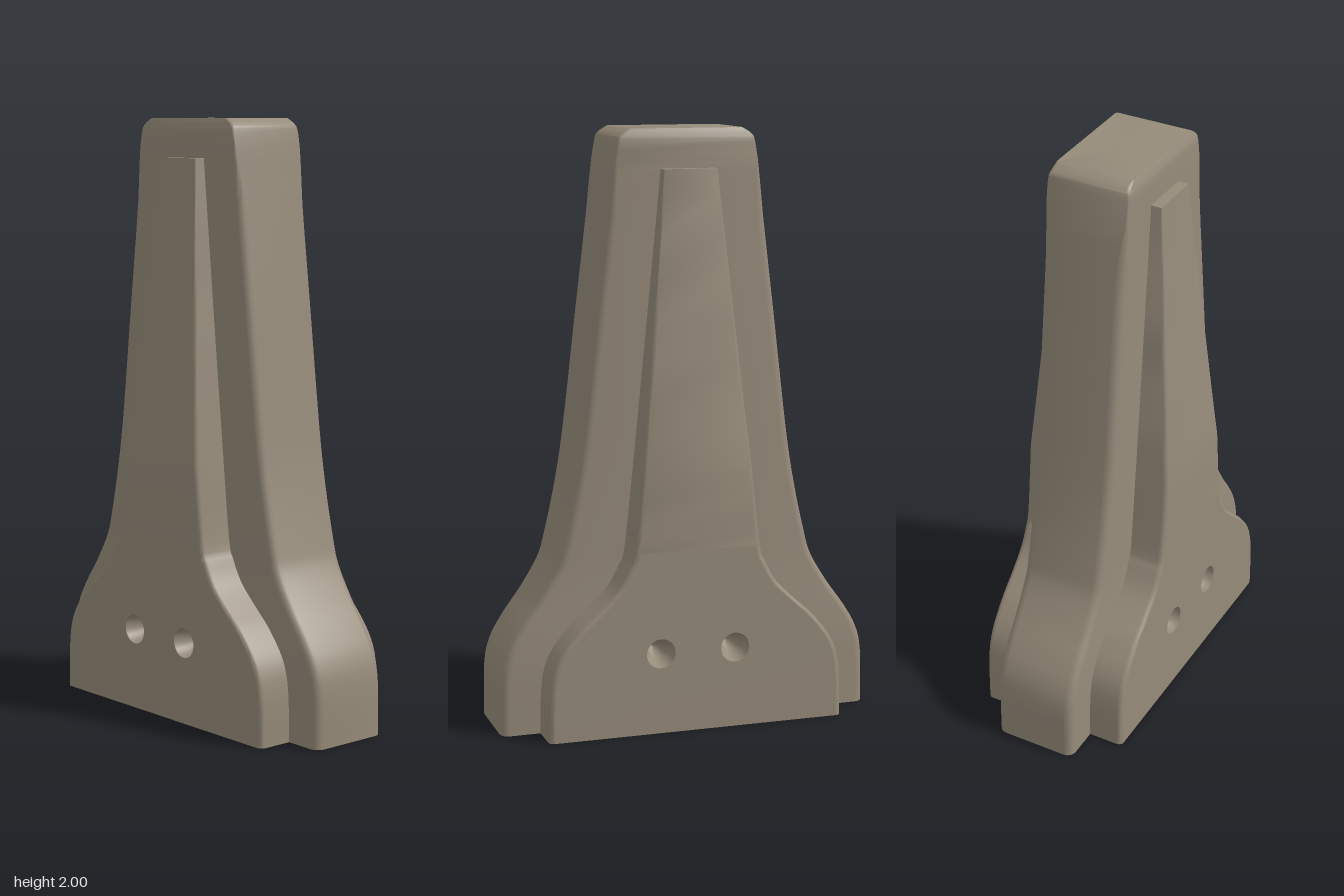
import * as THREE from 'three';
import { toCreasedNormals } from 'three/addons/utils/BufferGeometryUtils.js';

const ARC = 5; // points per rounded corner
const STEPS = 4; // rows between two profile points
const HOLES = [-0.13, 0.13], HOLE_Y = 0.275, HOLE_R = 0.05;

// Smooth rows through [half width, y] points
function rowsFrom(points, depth, radius) {
  const curve = new THREE.SplineCurve(points.map(([w, y]) => new THREE.Vector2(w, y)));
  return curve.getPoints((points.length - 1) * STEPS)
    .map(({ x, y }) => ({ w: x, y, d: depth(y), r: radius(y) }));
}

// Stack of rounded rectangles; front and back quads below row `open` are left out
function loft(rows, open = 0) {
  const n = ARC * 4, pos = [], index = [];
  for (const { w, y, d, r } of rows) {
    for (let c = 0; c < 4; c++) {
      const sx = c < 2 ? 1 : -1, sz = c === 0 || c === 3 ? 1 : -1;
      for (let k = 0; k < ARC; k++) {
        const a = Math.PI / 2 * (1 - c - k / (ARC - 1));
        pos.push(sx * (w - r) + r * Math.cos(a), y, sz * (d - r) + r * Math.sin(a));
      }
    }
  }
  for (let i = 0; i < rows.length - 1; i++) {
    for (let j = 0; j < n; j++) {
      if (i < open && (j === n - 1 || j === n / 2 - 1)) continue;
      const a = i * n + j, b = i * n + (j + 1) % n;
      index.push(a, b, b + n, a, b + n, a + n);
    }
  }
  // End caps
  const bottom = pos.length / 3, last = (rows.length - 1) * n;
  pos.push(0, rows[0].y, 0, 0, rows[rows.length - 1].y, 0);
  for (let j = 0; j < n; j++) {
    const k = (j + 1) % n;
    index.push(bottom, k, j, bottom + 1, last + j, last + k);
  }
  const g = new THREE.BufferGeometry();
  g.setAttribute('position', new THREE.Float32BufferAttribute(pos, 3));
  g.setIndex(index);
  return toCreasedNormals(g, 0.6);
}

export function createModel() {
  const group = new THREE.Group();
  const stone = new THREE.MeshStandardMaterial({ color: 0x968b7a });
  stone.name = 'warm grey';
  const holeMat = stone.clone();
  holeMat.name = 'warm grey lining';
  holeMat.side = THREE.DoubleSide;
  const add = (name, geometry, material = stone, parent = group) => {
    const mesh = new THREE.Mesh(geometry, material);
    mesh.name = name;
    parent.add(mesh);
    return mesh;
  };

  // Wide flared core slab
  const core = rowsFrom([
    [0.648, 0], [0.645, 0.18], [0.625, 0.27], [0.58, 0.35], [0.515, 0.44], [0.455, 0.54],
    [0.43, 0.62], [0.39, 0.8], [0.358, 1.0], [0.31, 1.4], [0.26, 1.8], [0.237, 1.95],
    [0.225, 1.98], [0.195, 2.0],
  ], y => 0.145 - 0.01 * Math.max(0, (y - 1.96) / 0.04),
  y => (y < 1.7 ? 0.03 : 0.03 - 0.02 * Math.min(1, (y - 1.7) / 0.2)));
  add('coreSlab', loft(core));

  // Narrower ribs standing out of the front and back
  const ribDepth = y => 0.267 - 0.085 * Math.max(0, (y - 0.88) / 0.99);
  const rib = rowsFrom([
    [0.515, 0], [0.51, 0.17], [0.483, 0.27], [0.415, 0.36], [0.345, 0.425], [0.28, 0.49],
    [0.24, 0.56], [0.22, 0.62], [0.191, 0.88], [0.14, 1.38], [0.092, 1.87],
  ], ribDepth, y => (y < 1 ? 0.018 : 0.018 - 0.012 * (y - 1) / 0.87));
  const open = 7 * STEPS;
  add('ribs', loft(rib, open));

  // Pierced lower faces of the ribs
  const edge = rib.slice(0, open + 1).map(({ w, y, r }) => [w - r, y]);
  const outline = [
    ...edge.map(([x, y]) => new THREE.Vector2(x, y)),
    ...edge.reverse().map(([x, y]) => new THREE.Vector2(-x, y)),
  ];
  const plate = new THREE.Shape(outline);
  for (const x of HOLES) {
    plate.holes.push(new THREE.Path().absarc(x, HOLE_Y, HOLE_R, 0, Math.PI * 2, true));
  }
  const plateGeometry = new THREE.ShapeGeometry(plate, 16);

  // Countersunk bolt hole lining
  const lining = new THREE.LatheGeometry([
    [0, -0.11], [0.022, -0.1], [0.026, -0.07], [0.047, -0.045], [HOLE_R, 0],
  ].map(([r, y]) => new THREE.Vector2(r, y)), 32).rotateX(Math.PI / 2);

  for (const [name, turn] of [['front', 0], ['back', Math.PI]]) {
    const side = new THREE.Group();
    side.name = name + 'Face';
    side.rotation.y = turn;
    group.add(side);
    add(name + 'Plate', plateGeometry, stone, side).position.z = 0.267;
    for (const x of HOLES) {
      add(name + 'BoltHole', lining, holeMat, side).position.set(x, HOLE_Y, 0.267);
    }
  }
  return group;
}
